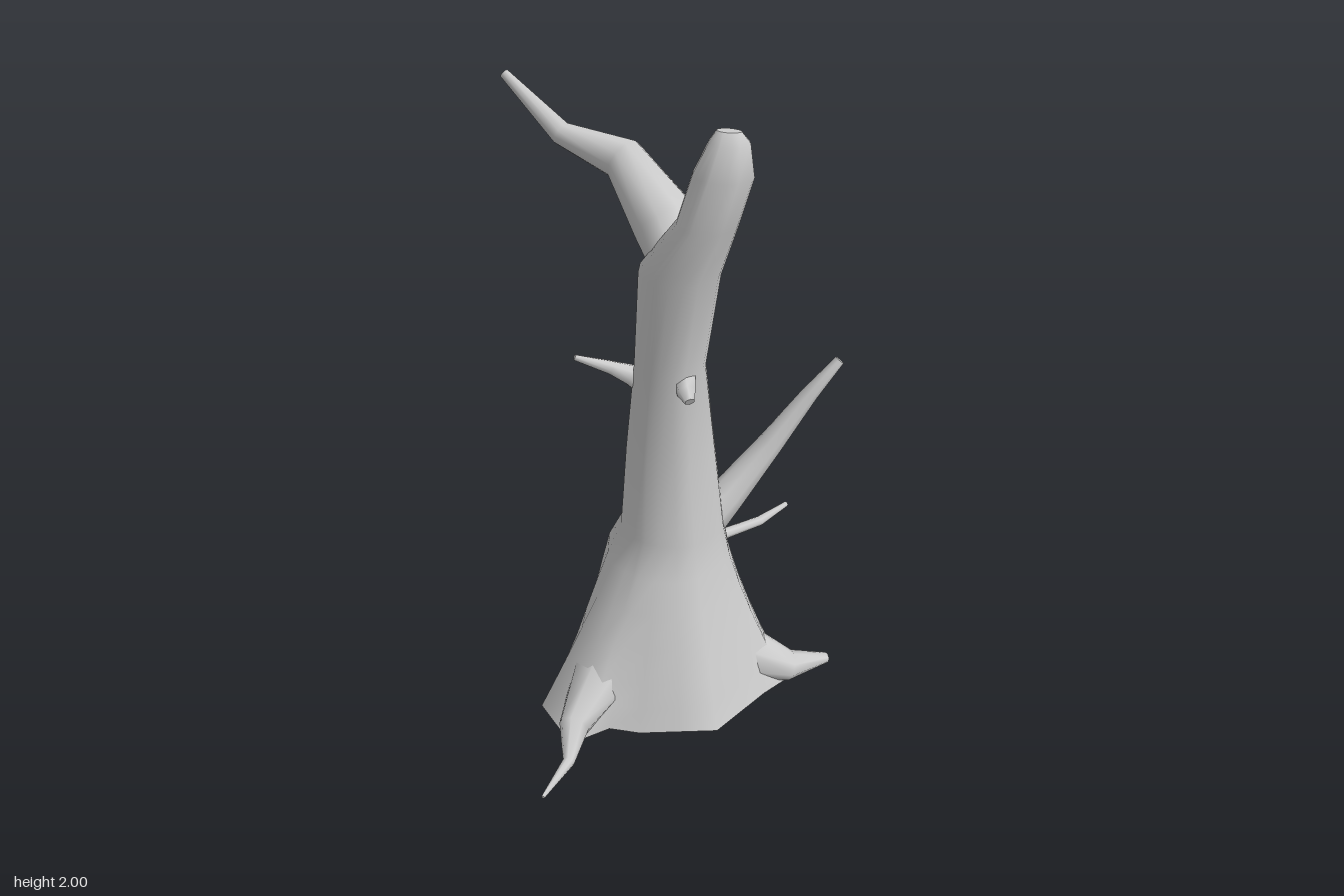
import * as THREE from 'three';

const V = (x, y, z) => new THREE.Vector3(x, y, z);
const bark = new THREE.MeshStandardMaterial({ color: 0xcccccc, roughness: 0.9 });

// Skin a list of closed rings (same point count), with flat caps at both ends
function loft(name, rings) {
  const n = rings[0].length, pos = [], idx = [];
  const push = p => pos.push(p.x, Math.max(0, p.y), p.z) / 3 - 1;
  rings.forEach(r => r.forEach(push));
  for (let j = 0; j < rings.length - 1; j++) {
    for (let i = 0; i < n; i++) {
      const k = (i + 1) % n, a = j * n + i, b = j * n + k;
      idx.push(a, a + n, b, b, a + n, b + n);
    }
  }
  [rings[0], rings[rings.length - 1]].forEach((ring, end) => {
    const mid = ring.reduce((s, p) => s.add(p), V(0, 0, 0)).divideScalar(n);
    const c = push(mid), first = c + 1;
    ring.forEach(push);
    for (let i = 0; i < n; i++) {
      const a = first + i, b = first + (i + 1) % n;
      if (end) idx.push(c, b, a); else idx.push(c, a, b);
    }
  });
  const g = new THREE.BufferGeometry();
  g.setAttribute('position', new THREE.Float32BufferAttribute(pos, 3));
  g.setIndex(idx);
  g.computeVertexNormals();
  const mesh = new THREE.Mesh(g, bark);
  mesh.name = name;
  return mesh;
}

// Tapered, kinked limb through stations [x, y, z, radius]
function limb(name, stations, sides = 8) {
  const pts = stations.map(s => V(s[0], s[1], s[2]));
  const last = pts.length - 1;
  let u = null;
  const rings = pts.map((p, j) => {
    const dir = pts[Math.min(j + 1, last)].clone().sub(pts[Math.max(j - 1, 0)]).normalize();
    if (!u) u = Math.abs(dir.y) < 0.9 ? V(0, 1, 0) : V(1, 0, 0);
    u = u.clone().addScaledVector(dir, -u.dot(dir)).normalize();
    const v = u.clone().cross(dir);
    return Array.from({ length: sides }, (_, i) => {
      const a = i / sides * Math.PI * 2, r = stations[j][3];
      return p.clone().addScaledVector(u, Math.cos(a) * r).addScaledVector(v, Math.sin(a) * r);
    });
  });
  return loft(name, rings);
}

// Ground outline of the flare: [x, z, falloff]; a low falloff keeps a ridge full
const FOOT = [
  [0.42, 0.13, 1.35], [0.36, 0.21, 1.3], [0.24, 0.41, 1.1], [0.12, 0.44, 0.9],
  [0.0, 0.47, 0.9], [-0.1, 0.47, 0.9], [-0.17, 0.53, 1.2], [-0.25, 0.51, 1.2],
  [-0.34, 0.41, 1.1], [-0.31, 0.24, 0.9], [-0.27, 0.07, 0.6], [-0.2, -0.04, 0.8],
  [-0.11, -0.19, 1], [-0.05, -0.28, 0.9], [0.03, -0.29, 0.8], [0.1, -0.16, 1],
  [0.24, -0.08, 1.2], [0.36, -0.01, 1.35],
];

// Trunk sections above the flare: [y, centre x, centre z, radius x, radius z]
const TRUNK = [
  [0.6, 0.035, 0.12, 0.165, 0.145],
  [0.9, 0.03, 0.125, 0.138, 0.122],
  [1.2, 0.03, 0.135, 0.108, 0.105],
  [1.55, 0.07, 0.195, 0.12, 0.105],
  [1.72, 0.152, 0.222, 0.088, 0.08],
  [1.88, 0.197, 0.236, 0.086, 0.066],
  [1.97, 0.21, 0.222, 0.058, 0.038],
  [2.0, 0.207, 0.215, 0.035, 0.015],
];

function makeTrunk() {
  const angles = FOOT.map(([x, z]) => Math.atan2(z - 0.12, x - 0.035));
  const section = ([y, cx, cz, rx, rz]) =>
    angles.map(a => V(cx + Math.cos(a) * rx, y, cz + Math.sin(a) * rz));
  const collar = section(TRUNK[0]);
  // Flare rings blend from the ground outline into the lowest trunk section
  const flare = [0, 0.08, 0.16, 0.27, 0.38, 0.49].map(y => FOOT.map(([x, z, falloff], i) => {
    const w = Math.pow(1 - y / 0.6, falloff);
    return V(x, y, z).lerp(collar[i], 1 - w).setY(y);
  }));
  return loft('trunk', [...flare, ...TRUNK.map(section)]);
}

export function createModel() {
  const tree = new THREE.Group();
  tree.name = 'deadTree';
  tree.add(
    makeTrunk(),
    // Branches
    limb('forkBranch', [[0.09, 1.5, 0.18, 0.08], [0.01, 1.64, 0.09, 0.1],
      [-0.145, 1.755, -0.055, 0.066], [-0.35, 1.785, -0.13, 0.036], [-0.545, 1.92, -0.222, 0.015]], 10),
    limb('sideBranch', [[0.12, 0.59, 0.09, 0.08], [0.2, 0.67, 0.04, 0.057],
      [0.32, 0.83, -0.04, 0.04], [0.43, 1.0, -0.085, 0.026], [0.51, 1.1, -0.135, 0.016]]),
    limb('twig', [[-0.03, 1.11, 0.13, 0.05], [-0.09, 1.15, 0.15, 0.032],
      [-0.14, 1.19, 0.185, 0.021], [-0.24, 1.235, 0.222, 0.009]]),
    limb('brokenTwig', [[0.08, 1.18, 0.18, 0.04], [0.1, 1.165, 0.235, 0.03],
      [0.115, 1.15, 0.262, 0.016]], 6),
    // Roots
    limb('leftRoot', [[0.26, 0.09, 0.12, 0.1], [0.43, 0.045, 0.105, 0.05], [0.54, 0.018, 0.015, 0.018]]),
    limb('frontRoot', [[-0.15, 0.12, 0.36, 0.1], [-0.2, 0.05, 0.53, 0.05],
      [-0.185, 0.025, 0.66, 0.02], [-0.23, 0.008, 0.806, 0.006]]),
    limb('backRoot', [[0.02, 0.1, -0.18, 0.1], [0.0, 0.09, -0.29, 0.06], [-0.01, 0.11, -0.4, 0.042],
      [0.04, 0.03, -0.52, 0.022], [0.21, 0.048, -0.645, 0.018], [0.285, 0.02, -0.803, 0.01]]),
  );
  return tree;
}
